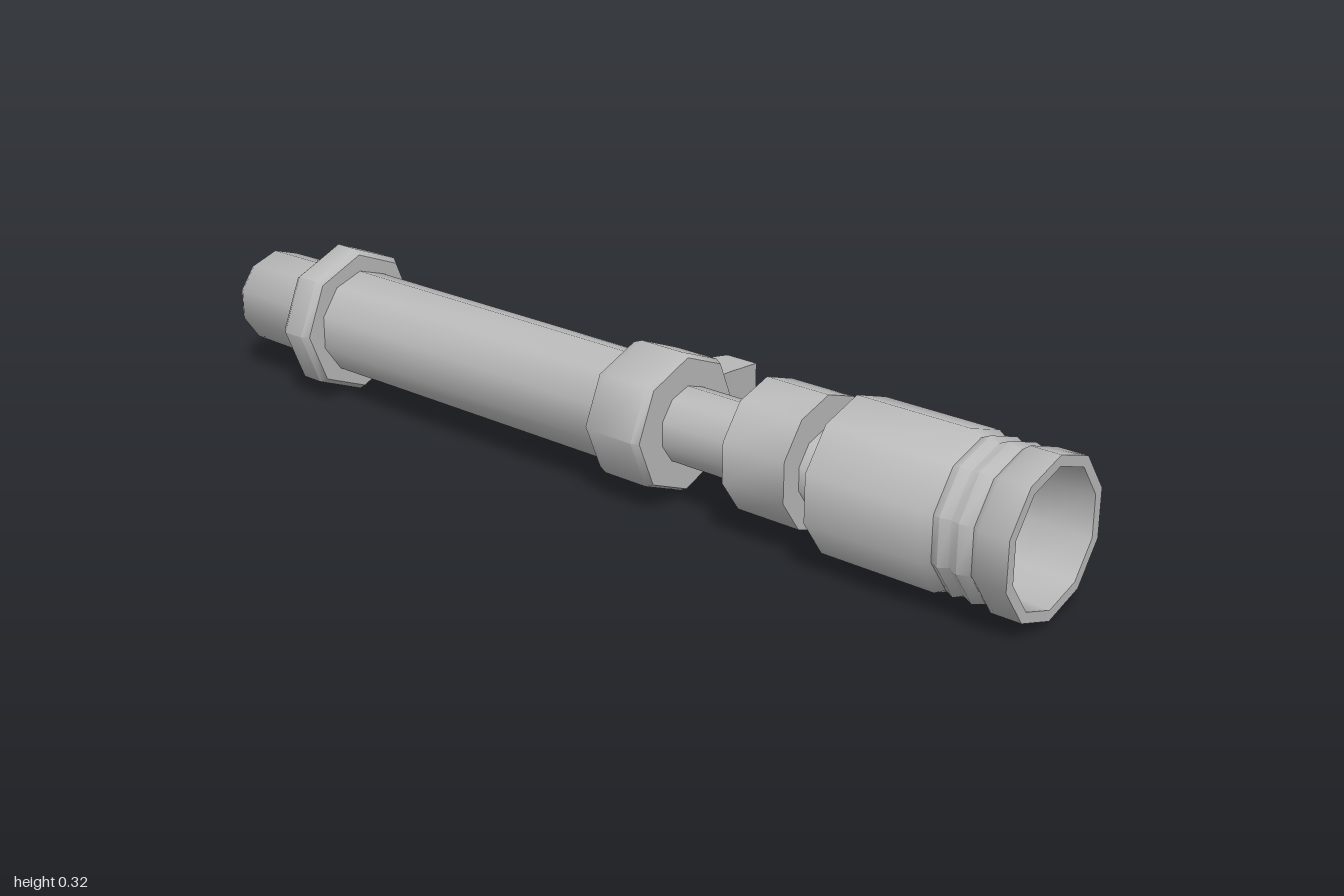
import * as THREE from 'three';
import { toCreasedNormals } from 'three/addons/utils/BufferGeometryUtils.js';

export function createModel() {
  const model = new THREE.Group();
  const metal = new THREE.MeshStandardMaterial({ color: 0xbababa });
  metal.name = 'plainGrey';

  function add(name, geometry, crease = 0.9) {
    const mesh = new THREE.Mesh(toCreasedNormals(geometry, crease), metal);
    mesh.name = name;
    model.add(mesh);
    return mesh;
  }

  // Turned part along z; profile is [radius, z] from back to front on the outside
  function turned(name, profile, x, sides, y = 0.16, sy = 1) {
    const points = profile.map(([r, z]) => new THREE.Vector2(r, z));
    const geometry = new THREE.LatheGeometry(points, sides);
    geometry.rotateX(Math.PI / 2);
    geometry.scale(1, sy, 1);
    geometry.translate(x, y, 0);
    return add(name, geometry);
  }

  // Hollow front sleeve with a grooved neck and a tapering bore
  turned('frontSleeve', [
    [0.122, 0.585], [0.153, 0.585], [0.153, 0.825], [0.142, 0.845],
    [0.15, 0.862], [0.141, 0.88], [0.15, 0.9], [0.142, 0.925],
    [0.153, 0.94], [0.153, 1], [0.132, 1], [0.126, 0.9], [0.122, 0.585],
  ], -0.04, 10, 0.163);

  // Inner rod with a domed end inside the sleeve
  turned('innerRod', [
    [0.075, 0.5], [0.075, 0.62], [0.06, 0.645], [0.03, 0.66], [0, 0.664],
  ], -0.045, 10);

  // Collar behind the sleeve
  turned('collar', [
    [0, 0.38], [0.132, 0.38], [0.132, 0.52], [0, 0.52],
  ], -0.035, 10, 0.166);

  // Narrow neck
  turned('neck', [[0.077, 0.17], [0.077, 0.4]], -0.045, 10);

  // Clamp ring
  turned('clampRing', [
    [0, 0.065], [0.138, 0.065], [0.146, 0.085], [0.146, 0.185], [0.138, 0.2], [0, 0.2],
  ], -0.046, 8, 0.16, 0.97);

  // Tapering side lever: box cross-sections are reshaped along x
  const lever = new THREE.BoxGeometry(2, 1, 1, 2, 1, 1);
  const sections = [
    { x: 0.03, h: 0.13, z: 0.13, d: 0.12 },
    { x: 0.11, h: 0.115, z: 0.128, d: 0.1 },
    { x: 0.207, h: 0.09, z: 0.128, d: 0.074 },
  ];
  const p = lever.attributes.position;
  for (let i = 0; i < p.count; i++) {
    const s = sections[Math.round(p.getX(i)) + 1];
    p.setXYZ(i, s.x, 0.16 + p.getY(i) * s.h, s.z + p.getZ(i) * s.d);
  }
  add('sideLever', lever, 0.6);

  // Long barrel
  turned('barrel', [[0.112, -0.75], [0.112, 0.09]], -0.053, 10);

  // Rear ring
  turned('rearRing', [
    [0, -0.79], [0.148, -0.79], [0.159, -0.775], [0.159, -0.725], [0.148, -0.71], [0, -0.71],
  ], -0.053, 8);

  // Hollow tail tube with a closed bore
  turned('tailTube', [
    [0, -0.85], [0.06, -0.85], [0.066, -1], [0.092, -1], [0.102, -0.985], [0.105, -0.77],
  ], -0.057, 10);

  return model;
}
